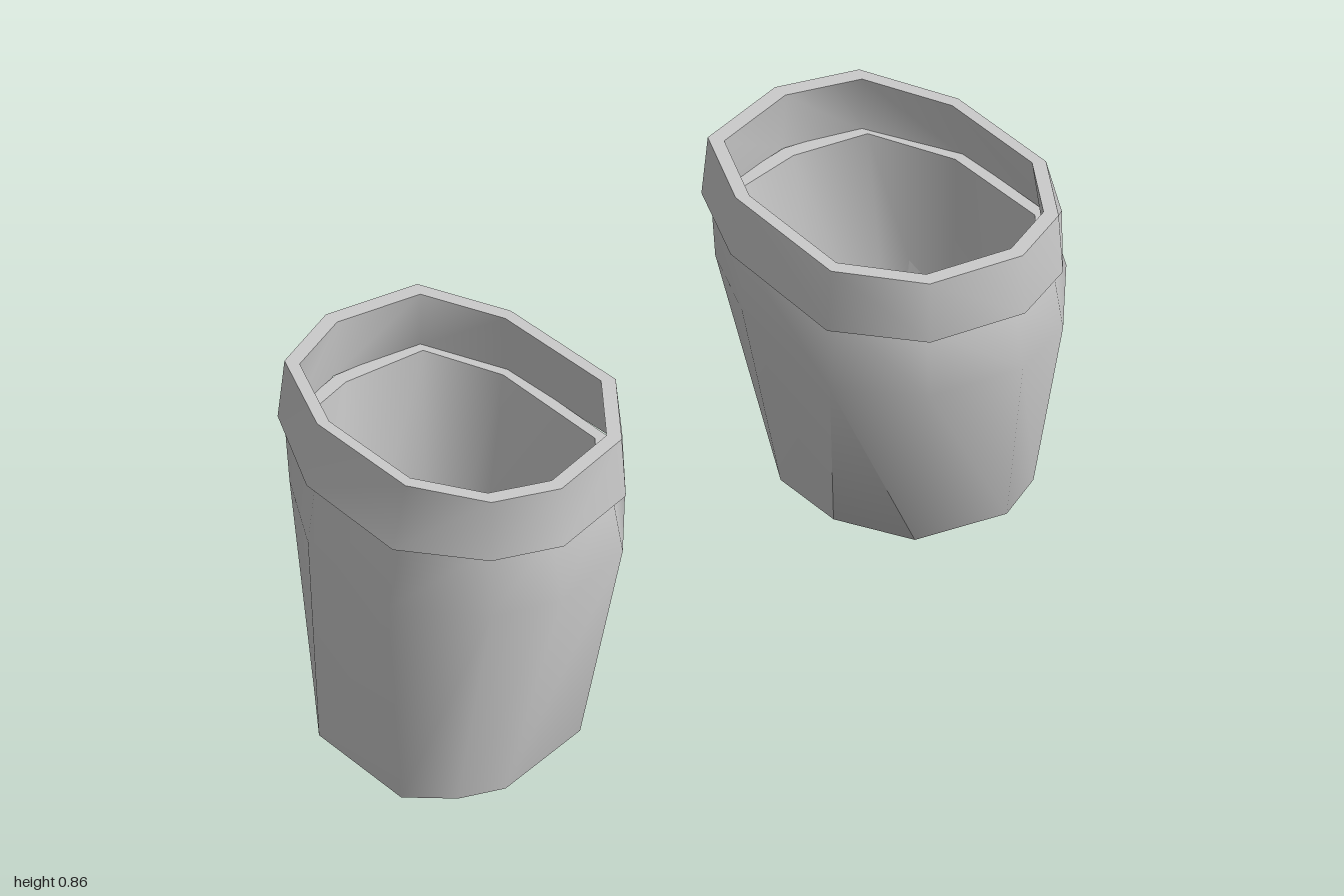
import * as THREE from 'three';
import { toCreasedNormals } from 'three/addons/utils/BufferGeometryUtils.js';

// Cross-sections as [x, z]: back, inner side, front, outer side
const MID = [[.655, -.395], [.42, -.363], [.34, -.165], [.31, .19], [.463, .353],
  [.69, .4], [.85, .34], [1, .16], [.97, -.145], [.845, -.347]];
const NECK = [[.65, -.41], [.42, -.38], [.34, -.172], [.345, .175], [.475, .328],
  [.69, .37], [.84, .315], [.955, .155], [.945, -.147], [.845, -.365]];
const BAND_LOW = [[.65, -.45], [.41, -.4], [.32, -.18], [.31, .18], [.46, .36],
  [.69, .408], [.85, .34], [.987, .16], [.97, -.15], [.845, -.387]];
const BAND_TOP = [[.65, -.442], [.42, -.39], [.33, -.175], [.325, .175], [.465, .352],
  [.69, .4], [.843, .333], [.945, .157], [.938, -.15], [.835, -.375]];
const RIGHT_BASE = [[.7, -.325], [.512, -.255], [.44, -.17], [.437, .01], [.5, .25],
  [.77, .3], [.875, .257], [.968, .168], [.95, -.13], [.84, -.27]];
const LEFT_BASE = [[.73, -.275], [.535, -.23], [.465, -.15], [.455, .04], [.54, .22],
  [.76, .285], [.89, .23], [.972, .11], [.967, -.125], [.87, -.222]];

const inset = (ring, s) => ring.map(([x, z]) => [.645 + (x - .645) * s, -.02 + (z + .02) * s]);

// The left sleeve is a little wider, turned slightly and set forward; the right one is mirrored
const turnLeft = (ring) => ring.map(([x, z]) =>
  [.66 + (x - .66) * 1.025 - .055 * z, z + .04 + .055 * (x - .66)]);
const mirror = (ring) => ring.map(([x, z]) => [-x, z]).reverse();

// Skin a closed loop of sections [ring, y], outside upward then inside downward;
// mirrored picks the quad diagonal so both sleeves fold alike
function loft(name, sections, mirrored, material) {
  const n = sections[0][0].length;
  const position = [], index = [];
  for (const [ring, y] of sections) for (const [x, z] of ring) position.push(x, y, z);
  for (let r = 0; r < sections.length; r++) {
    const s = (r + 1) % sections.length;
    for (let i = 0; i < n; i++) {
      const j = (i + 1) % n;
      const a = r * n + i, b = r * n + j, c = s * n + j, d = s * n + i;
      if (mirrored) index.push(a, b, c, a, c, d);
      else index.push(a, b, d, b, c, d);
    }
  }
  const geometry = new THREE.BufferGeometry();
  geometry.setAttribute('position', new THREE.Float32BufferAttribute(position, 3));
  geometry.setIndex(index);
  const mesh = new THREE.Mesh(toCreasedNormals(geometry, 1.2), material);
  mesh.name = name;
  return mesh;
}

function sleeve(name, base, place, placeBase, mirrored, material) {
  const group = new THREE.Group();
  group.name = name;
  // Tapered hollow wall, open at both ends
  group.add(loft('wall', [
    [placeBase(base), 0], [place(MID), .545], [place(NECK), .708],
    [place(inset(NECK, .91)), .708], [placeBase(inset(base, .995)), 0],
  ], mirrored, material));
  // Band around the upper opening
  group.add(loft('topBand', [
    [place(BAND_LOW), .703], [place(BAND_TOP), .861],
    [place(inset(BAND_TOP, .91)), .861], [place(inset(BAND_LOW, .92)), .703],
  ], mirrored, material));
  return group;
}

export function createModel() {
  const model = new THREE.Group();
  model.name = 'sleevePair';
  const material = new THREE.MeshStandardMaterial({ color: 0xcccccc, side: THREE.DoubleSide });
  model.add(sleeve('rightSleeve', RIGHT_BASE, mirror, mirror, true, material));
  model.add(sleeve('leftSleeve', LEFT_BASE, turnLeft, (ring) => ring, false, material));
  return model;
}
